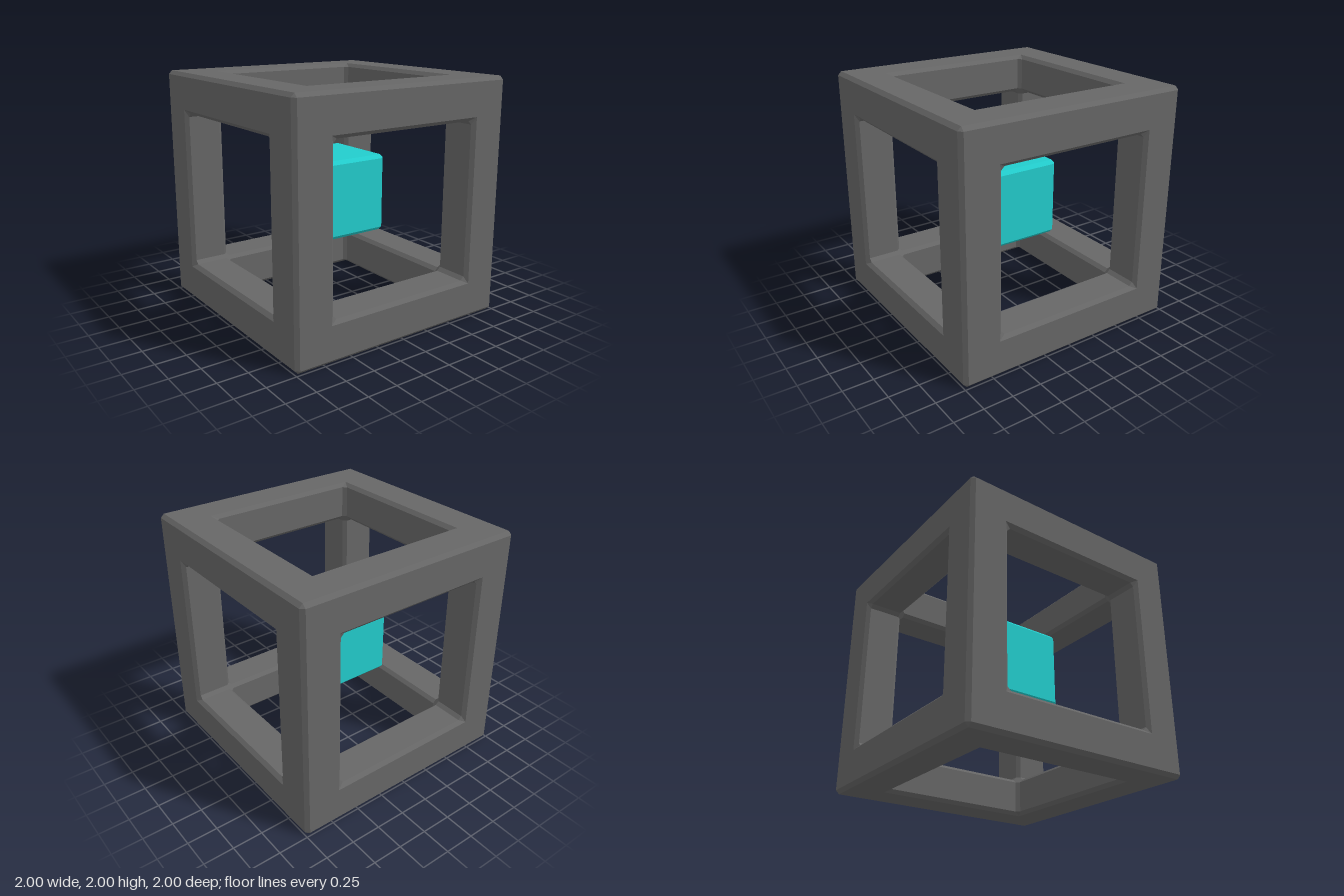
import * as THREE from 'three';

// Repeats a few faces over all 48 symmetries of a cube, keeping them facing outward.
function cubeSymmetric(faces) {
  const perms = [[0, 1, 2], [1, 2, 0], [2, 0, 1], [0, 2, 1], [2, 1, 0], [1, 0, 2]];
  const pos = [];
  perms.forEach((perm, k) => {
    for (let s = 0; s < 8; s++) {
      const sign = [s & 1 ? -1 : 1, s & 2 ? -1 : 1, s & 4 ? -1 : 1];
      const flip = (k < 3 ? 1 : -1) * sign[0] * sign[1] * sign[2] < 0;
      for (const face of faces) {
        const p = face.map(v => perm.map((axis, i) => v[axis] * sign[i]));
        if (flip) p.reverse();
        for (let i = 1; i < p.length - 1; i++) pos.push(...p[0], ...p[i], ...p[i + 1]);
      }
    }
  });
  const g = new THREE.BufferGeometry();
  g.setAttribute('position', new THREE.Float32BufferAttribute(pos, 3));
  g.computeVertexNormals();
  return g;
}

// Outer chamfered edge and corner of a cube with half size h and bevel b.
function outerBevel(h, b) {
  const e = h - b, m = h - b / 2, c = h - b * 2 / 3;
  return [
    [[e, 0, h], [m, 0, m], [m, e, m], [e, e, h]],
    [[e, e, h], [m, e, m], [c, c, c]],
  ];
}

export function createModel() {
  const frameGrey = new THREE.MeshStandardMaterial({ color: 0x666666 });
  frameGrey.name = 'frame grey';
  const coreCyan = new THREE.MeshStandardMaterial({ color: 0x22cccc });
  coreCyan.name = 'core cyan';

  const b = 0.03;          // bevel width
  const h = 1, e = h - b;  // outer half size and bevel start
  const w = 0.665;         // half width of the openings
  const o = w + b, n = w - b, m = w - b / 2, q = w + b / 2;

  const frameFaces = [
    [[o, 0, h], [e, 0, h], [e, e, h], [o, o, h]],   // flat front of a beam
    ...outerBevel(h, b),
    [[o, 0, h], [o, o, h], [w, n, e], [w, 0, e]],   // bevel around the opening
    [[o, o, h], [m, m, e], [w, n, e]],              // corner of that bevel
    [[w, 0, e], [w, n, e], [w, n, o], [w, 0, o]],   // wall of the opening
    [[w, n, e], [m, m, e], [m, m, o], [w, n, o]],   // filled corner between walls
    [[w, 0, o], [w, n, o], [q, n, q], [q, 0, q]],   // innermost bevel of a beam
    [[w, n, o], [m, m, o], [w, w, w], [q, n, q]],   // inner corner hexagon
  ];
  const frame = new THREE.Mesh(cubeSymmetric(frameFaces), frameGrey);
  frame.name = 'cubeFrame';

  // Floating bevelled cube in the middle
  const r = 0.33, f = r - b;
  const coreFaces = [[[0, 0, r], [f, 0, r], [f, f, r]], ...outerBevel(r, b)];
  const core = new THREE.Mesh(cubeSymmetric(coreFaces), coreCyan);
  core.name = 'coreCube';

  const model = new THREE.Group();
  model.name = 'framedCube';
  for (const part of [frame, core]) {
    part.position.y = 1;
    model.add(part);
  }
  return model;
}
